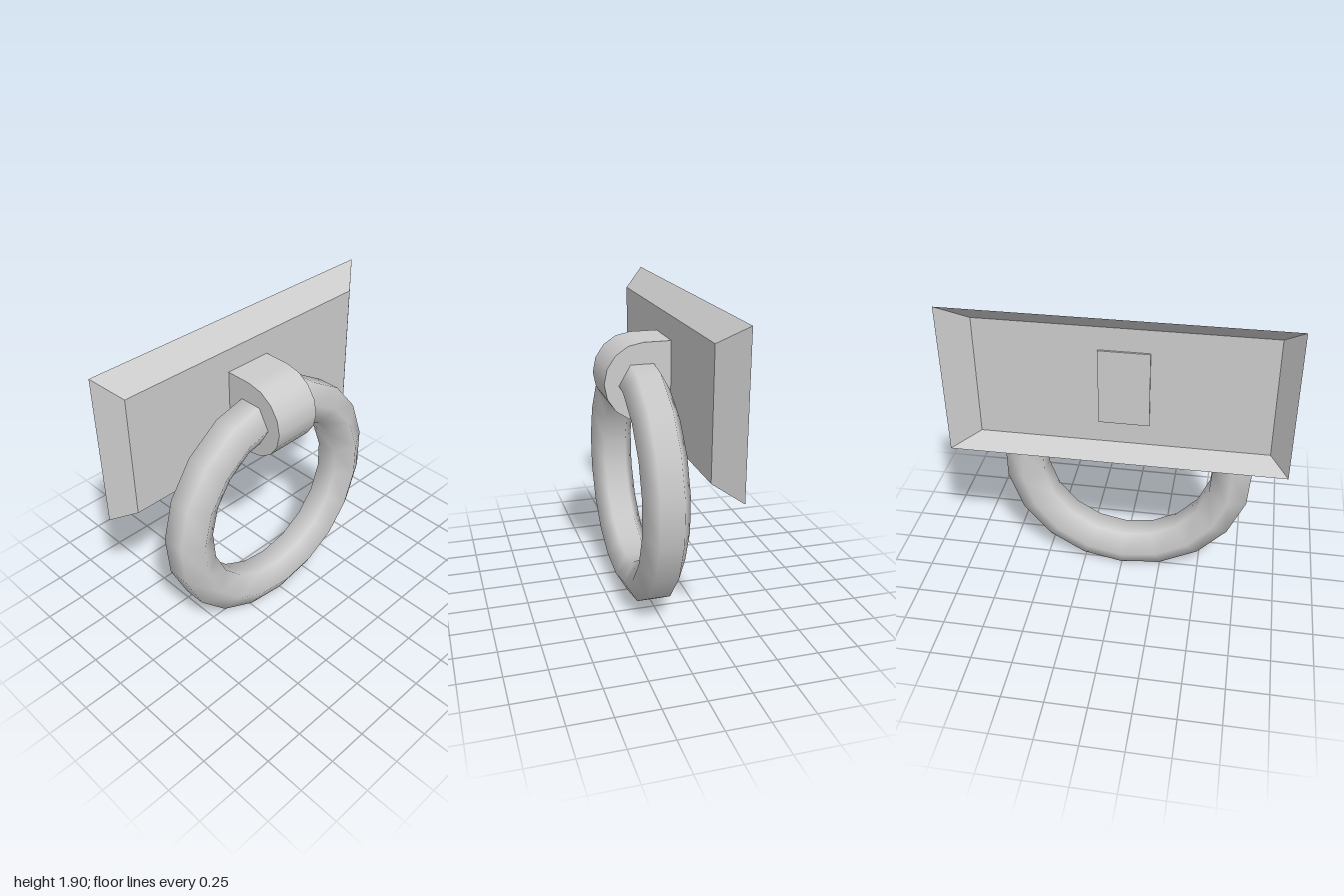
import * as THREE from 'three';

const rad = THREE.MathUtils.degToRad;

// Hollow, bevelled wall plate, open at the back
function plateGeometry() {
  const rect = (x0, x1, y0, y1, z) => [[x0, y0, z], [x1, y0, z], [x1, y1, z], [x0, y1, z]];
  const outer = rect(-1, 1, 0.975, 1.905, -0.265);
  const inner = rect(-0.89, 0.84, 1.04, 1.79, -0.135);
  const pos = [];
  const quad = (a, b, c, d) => pos.push(...a, ...b, ...c, ...a, ...c, ...d);
  quad(...inner);
  for (let i = 0; i < 4; i++) {
    const j = (i + 1) % 4;
    quad(outer[i], outer[j], inner[j], inner[i]);
  }
  const g = new THREE.BufferGeometry();
  g.setAttribute('position', new THREE.Float32BufferAttribute(pos, 3));
  g.computeVertexNormals();
  return g;
}

// Six-sided ring with smooth normals and slightly longer segments inside the bracket
function ringGeometry() {
  const R = 0.654, r = 0.14, segments = 18;
  const g = new THREE.TorusGeometry(R, r, 6, segments);
  const { position, normal, uv } = g.attributes;
  for (let k = 0; k < position.count; k++) {
    const i = Math.round(uv.getX(k) * segments);
    const deg = i < 9 ? -88 + 19.5 * i : i === 9 ? 92.2 : 116.4 + 19.45 * (i - 10);
    const u = rad(deg), v = uv.getY(k) * Math.PI * 2 + Math.PI / 6;
    const d = R + r * Math.cos(v);
    position.setXYZ(k, d * Math.cos(u), d * Math.sin(u), r * Math.sin(v));
    normal.setXYZ(k, Math.cos(v) * Math.cos(u), Math.cos(v) * Math.sin(u), Math.sin(v));
  }
  return g;
}

// Rounded bracket: half-round side profile carried across its width
function bracketGroup(material) {
  const group = new THREE.Group();
  const x0 = -0.18, x1 = 0.12, cy = 1.412, cz = 0.03, r = 0.235, back = -0.142;
  const steps = 8;
  const arc = [];
  for (let i = 0; i <= steps; i++) {
    const a = Math.PI / 2 - (Math.PI * i) / steps;
    arc.push([cy + r * Math.sin(a), cz + r * Math.cos(a), Math.sin(a), Math.cos(a)]);
  }
  const profile = [[cy + r, back, 1, 0], ...arc, [cy - r, back, -1, 0]];

  // Curved outer strap
  const pos = [], nor = [], idx = [];
  profile.forEach(([y, z, ny, nz], i) => {
    pos.push(x0, y, z, x1, y, z);
    nor.push(0, ny, nz, 0, ny, nz);
    if (i) {
      const a = 2 * i - 2;
      idx.push(a, a + 2, a + 1, a + 1, a + 2, a + 3);
    }
  });
  const strap = new THREE.BufferGeometry();
  strap.setAttribute('position', new THREE.Float32BufferAttribute(pos, 3));
  strap.setAttribute('normal', new THREE.Float32BufferAttribute(nor, 3));
  strap.setIndex(idx);
  group.add(new THREE.Mesh(strap, material));

  // Flat side cheeks
  const cheek = new THREE.ShapeGeometry(
    new THREE.Shape(profile.map(([y, z]) => new THREE.Vector2(-z, y))));
  for (const x of [x0, x1]) {
    const m = new THREE.Mesh(cheek, material);
    m.rotation.y = Math.PI / 2;
    m.position.x = x;
    group.add(m);
  }

  // Back pad showing behind the plate
  const pad = new THREE.Mesh(new THREE.BoxGeometry(x1 - x0, 2 * r, 0.01), material);
  pad.position.set((x0 + x1) / 2, cy, back);
  group.add(pad);
  return group;
}

export function createModel() {
  const metal = new THREE.MeshStandardMaterial({ color: 0xcccccc, side: THREE.DoubleSide });
  metal.name = 'light grey metal';
  const model = new THREE.Group();
  model.name = 'ringPull';

  const plate = new THREE.Mesh(plateGeometry(), metal);
  plate.name = 'wallPlate';

  const bracket = bracketGroup(metal);
  bracket.name = 'bracket';
  bracket.children.forEach((m, i) => {
    m.name = ['bracketStrap', 'bracketRightCheek', 'bracketLeftCheek', 'bracketBackPad'][i];
  });

  const ring = new THREE.Mesh(ringGeometry(), metal);
  ring.name = 'ring';
  ring.position.set(-0.03, 0.775, 0.038);

  model.add(plate, bracket, ring);
  return model;
}
